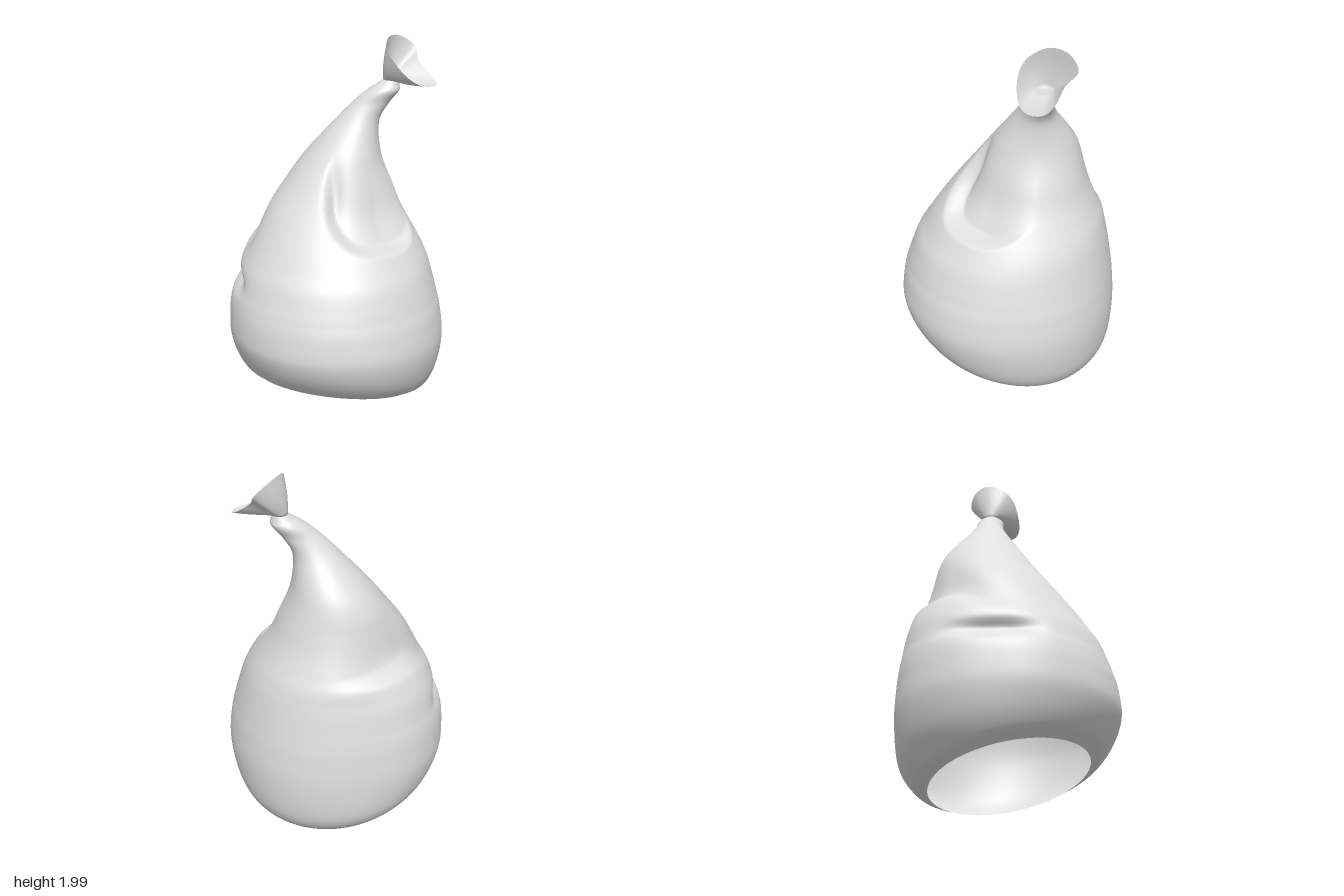
import * as THREE from 'three';

const paleGrey = new THREE.MeshStandardMaterial({ color: 0xe0e0e0, side: THREE.DoubleSide });
paleGrey.name = 'pale grey';

const { smoothstep, mapLinear, degToRad } = THREE.MathUtils;

// Height, then the reach to -x, +x, front and back
const PROFILE = [
  [0.10, -0.44, 0.42, 0.42, -0.41], [0.15, -0.505, 0.495, 0.50, -0.49],
  [0.25, -0.555, 0.55, 0.557, -0.565], [0.40, -0.585, 0.58, 0.587, -0.587],
  [0.55, -0.585, 0.565, 0.575, -0.58], [0.64, -0.572, 0.545, 0.55, -0.57],
  [0.70, -0.553, 0.53, 0.53, -0.56], [0.79, -0.525, 0.505, 0.495, -0.545],
  [0.86, -0.495, 0.48, 0.45, -0.53], [0.93, -0.46, 0.445, 0.405, -0.515],
  [1.00, -0.425, 0.405, 0.355, -0.485], [1.10, -0.37, 0.35, 0.28, -0.445],
  [1.20, -0.30, 0.31, 0.21, -0.41], [1.37, -0.175, 0.245, 0.10, -0.355],
  [1.55, -0.015, 0.23, 0.0, -0.235], [1.65, 0.08, 0.28, -0.035, -0.19],
  [1.72, 0.16, 0.335, -0.035, -0.185], [1.755, 0.215, 0.335, -0.055, -0.165],
  [1.78, 0.25, 0.33, -0.07, -0.15],
];

// Lower edge of the front fold: angle in degrees from +x towards +z, height
const FOLD = new THREE.SplineCurve([
  [2, 1.05], [12, 1.0], [25, 0.95], [42, 0.93], [72, 0.95], [92, 1.03], [103, 1.12], [114, 1.24],
].map(([a, y]) => new THREE.Vector2(a, y))).getPoints(60);

function foldHeight(deg) {
  const i = Math.max(1, FOLD.findIndex((p) => p.x >= deg));
  return mapLinear(deg, FOLD[i - 1].x, FOLD[i].x, FOLD[i - 1].y, FOLD[i].y);
}

// Pocket above the front fold
function frontFold(deg, y) {
  if (deg < 2 || deg > 114) return 0;
  const edge = foldHeight(deg);
  const width = 0.035 + 0.11 * smoothstep(deg, 78, 110);
  const across = smoothstep(deg, 2, 50) * (1 - smoothstep(deg, 90, 114));
  return 0.085 * across * smoothstep(y, edge, edge + width)
    * (1 - smoothstep(y, edge + width, 1.42));
}

// Ledge round the back
function backLedge(deg, y) {
  const across = smoothstep(deg, 160, 220) * (1 - smoothstep(deg, 235, 292));
  const edge = 0.82 + 0.11 * smoothstep(deg, 175, 220);
  return 0.05 * across * smoothstep(y, edge, edge + 0.08)
    * (1 - smoothstep(y, edge + 0.09, edge + 0.35));
}

// Fuller back corner below the ledge
function backBulge(deg, y) {
  const across = smoothstep(deg, 180, 222) * (1 - smoothstep(deg, 228, 270));
  return 0.035 * across * smoothstep(y, 0.15, 0.45) * (1 - smoothstep(y, 0.8, 1.05));
}

// Short crease low on the side
function sideCrease(deg, y) {
  const across = smoothstep(deg, 150, 178) * (1 - smoothstep(deg, 188, 222));
  return 0.05 * across * Math.exp(-(((y - 0.715) / 0.045) ** 2));
}

// Smooth surface through closed rings of points
function loft(rings) {
  const n = rings[0].length, index = [];
  for (let i = 0; i < rings.length - 1; i++) {
    for (let j = 0; j < n; j++) {
      const k = (j + 1) % n, a = i * n + j, b = i * n + k;
      index.push(a, a + n, b, b, a + n, b + n);
    }
  }
  const g = new THREE.BufferGeometry().setFromPoints(rings.flat());
  g.setIndex(index);
  g.computeVertexNormals();
  return g;
}

// Hollow sack, open at the tilted bottom
function bodyGeometry(rows = 170, cols = 160) {
  const curve = (a, b) => new THREE.CatmullRomCurve3(
    PROFILE.map((p) => new THREE.Vector3(p[a], p[0], p[b])), false, 'catmullrom');
  const sides = curve(1, 2), depths = curve(4, 3);
  const rings = [];
  for (let i = 0; i <= rows; i++) {
    const s = sides.getPoint(i / rows), d = depths.getPoint(i / rows), y = s.y;
    const cx = (s.x + s.z) / 2, rx = (s.z - s.x) / 2;
    const cz = (d.x + d.z) / 2, rz = (d.z - d.x) / 2;
    const tilt = 1 - smoothstep(y, 0.1, 0.55);
    const ring = [];
    for (let j = 0; j < cols; j++) {
      const deg = (j / cols) * 360, a = degToRad(deg);
      const sink = frontFold(deg, y) + backLedge(deg, y) + sideCrease(deg, y) - backBulge(deg, y);
      const x = cx + (rx - sink) * Math.cos(a);
      const z = cz + (rz - sink) * Math.sin(a);
      ring.push(new THREE.Vector3(x, y + tilt * (0.19 * z - 0.12 * x), z));
    }
    rings.push(ring);
  }
  return loft(rings);
}

// Flared wavy mouth rising from the pinched neck
function mouthGeometry() {
  const rim = new THREE.CatmullRomCurve3([
    [0.26, 1.95, -0.03], [0.29, 1.9, 0.02], [0.36, 1.82, 0.05], [0.43, 1.775, 0.05],
    [0.50, 1.765, 0.02], [0.525, 1.77, -0.04], [0.50, 1.80, -0.10], [0.44, 1.87, -0.17],
    [0.43, 1.93, -0.235], [0.35, 1.99, -0.21], [0.28, 2.0, -0.13],
  ].map((p) => new THREE.Vector3(...p)), true).getPoints(60).slice(0, 60).reverse();
  const mean = rim.reduce((s, p) => s.add(p), new THREE.Vector3()).divideScalar(rim.length);
  const base = new THREE.Vector3(0.29, 1.778, -0.11);
  const axis = mean.clone().sub(base).normalize();
  const rings = [rim.map(() => base.clone())];
  for (let i = 0; i <= 12; i++) {
    const t = i / 12;
    rings.push(rim.map((p) => {
      const a = Math.atan2(p.z - mean.z, p.x - mean.x);
      return new THREE.Vector3(0.041 * Math.cos(a), 0, 0.041 * Math.sin(a)).add(base)
        .lerp(p, t).addScaledVector(axis, -0.01 * Math.sin(Math.PI * t));
    }));
  }
  return loft(rings);
}

export function createModel() {
  const group = new THREE.Group();
  const parts = { body: bodyGeometry(), mouth: mouthGeometry() };
  for (const [name, geometry] of Object.entries(parts)) {
    const mesh = new THREE.Mesh(geometry, paleGrey);
    mesh.name = name;
    group.add(mesh);
  }
  return group;
}
